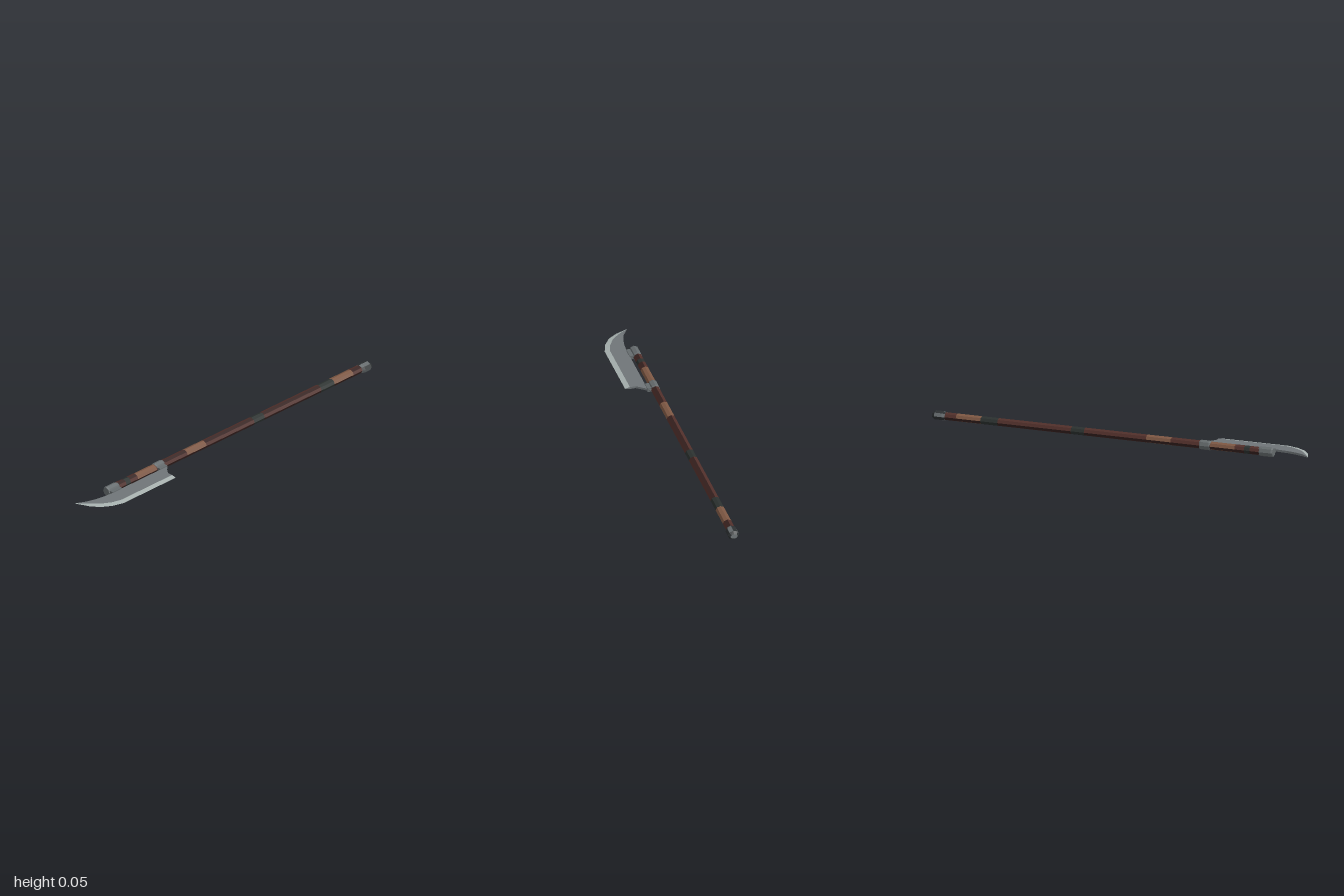
import * as THREE from 'three';

const mat = (name, color) => {
  const m = new THREE.MeshStandardMaterial({ color });
  m.name = name;
  return m;
};

const CY = 0.025; // height of the weapon's centre plane
const SIDES = 8;

// Collects flat quads and triangles per material and makes one mesh with groups
function facets(name, materials, build) {
  const lists = materials.map(() => []);
  const tri = (m, a, b, c) => lists[m].push(...a, ...b, ...c);
  const quad = (m, a, b, c, d) => { tri(m, a, b, c); tri(m, a, c, d); };
  build(quad, tri);
  const geo = new THREE.BufferGeometry();
  geo.setAttribute('position', new THREE.Float32BufferAttribute(lists.flat(), 3));
  let start = 0;
  lists.forEach((l, i) => {
    geo.addGroup(start, l.length / 3, i);
    start += l.length / 3;
  });
  geo.computeVertexNormals();
  const mesh = new THREE.Mesh(geo, materials);
  mesh.name = name;
  return mesh;
}

// Eight-sided loft along x; rings are [x, z, ry, rz]
function loft(name, materials, rings, pick, capMaterial = 0) {
  const point = ([x, z, ry, rz], k) => {
    const a = (k / SIDES) * Math.PI * 2;
    return [x, CY + ry * Math.cos(a), z + rz * Math.sin(a)];
  };
  return facets(name, materials, (quad, tri) => {
    const first = rings[0], last = rings[rings.length - 1];
    for (let k = 0; k < SIDES; k++) {
      for (let i = 0; i < rings.length - 1; i++) {
        quad(pick(i, k), point(rings[i], k), point(rings[i], k + 1),
          point(rings[i + 1], k + 1), point(rings[i + 1], k));
      }
      tri(capMaterial, [first[0], CY, first[1]], point(first, k + 1), point(first, k));
      tri(capMaterial, [last[0], CY, last[1]], point(last, k), point(last, k + 1));
    }
  });
}

export function createModel() {
  const group = new THREE.Group();
  const wood = mat('red brown wood', 0x512f2a);
  const darkWood = mat('dark wood', 0x35201e);
  const lightWood = mat('worn light wood', 0x7d5743);
  const band = mat('dark green band', 0x2b312f);
  const steel = mat('steel', 0x6f7578);
  const collarSteel = mat('collar steel', 0x656b6d);
  const edgeSteel = mat('sharpened edge', 0xa6b0ae);
  const darkSteel = mat('dark steel', 0x2c3032);

  // Shaft: wood facets with worn patches (2) and dark bands (3)
  const stations = [[-0.79, 0], [-0.69, 3], [-0.66, 0], [-0.61, 2], [-0.48, 0], [-0.27, 2],
    [-0.14, 0], [0.19, 3], [0.26, 0], [0.65, 3], [0.74, 2], [0.87, 0], [0.96, 0]];
  const rings = stations.map(([x]) => {
    const t = (x + 0.8) / 1.8;
    return [x, -0.063 + 0.008 * t, 0.021 - 0.001 * t, 0.022 + 0.002 * t];
  });
  group.add(loft('shaft', [wood, darkWood, lightWood, band], rings, (i, k) => {
    const kind = stations[i][1];
    const stripe = [0, 2, 5].includes(k) ? 1 : 0;
    if (kind === 3) return 3;
    return kind === 2 && k % 3 !== 2 ? 2 : stripe;
  }));

  // Pommel cap with a chamfered end
  group.add(loft('endCap', [collarSteel, darkSteel, steel], [
    [0.93, -0.056, 0.021, 0.025], [0.945, -0.054, 0.024, 0.03],
    [0.985, -0.053, 0.024, 0.03], [1.0, -0.052, 0.0125, 0.019],
  ], (i, k) => (i === 2 || k % 2 ? 1 : 0), 2));

  // Two collars, each with a lug that holds the blade
  for (const [name, x0, x1] of [['tipCollar', -0.81, -0.735], ['neckCollar', -0.48, -0.42]]) {
    const collar = loft(name, [collarSteel], [
      [x0, -0.062, 0.022, 0.021], [x0 + 0.008, -0.062, 0.025, 0.024],
      [x1 - 0.008, -0.062, 0.025, 0.024], [x1, -0.062, 0.022, 0.021],
    ], () => 0);
    group.add(collar);
    const lug = new THREE.Mesh(new THREE.BoxGeometry(x1 - x0 - 0.01, 0.02, 0.03), collarSteel);
    lug.name = name + 'Lug';
    lug.position.set((x0 + x1) / 2, CY, -0.037);
    group.add(lug);
  }

  // Neck plate flaring from the collar into the blade
  const half = 0.0054;
  const s = new THREE.Shape();
  s.moveTo(-0.475, 0.04);
  s.lineTo(-0.475, -0.035);
  s.quadraticCurveTo(-0.462, -0.012, -0.42, 0.035);
  s.lineTo(-0.42, 0.045);
  const neckGeo = new THREE.ExtrudeGeometry(s, { depth: half * 2, bevelEnabled: false, curveSegments: 5 });
  neckGeo.rotateX(-Math.PI / 2);
  const neck = new THREE.Mesh(neckGeo, steel);
  neck.name = 'bladeNeck';
  neck.position.y = CY - half;
  group.add(neck);

  // Blade sections: back, bevel start and cutting edge as x, z pairs
  const sections = [
    [-0.47, -0.024, -0.47, 0.055, -0.47, 0.08],
    [-0.72, -0.024, -0.75, 0.055, -0.75, 0.08],
    [-0.81, -0.024, -0.82, 0.055, -0.83, 0.08],
    [-0.87, -0.03, -0.87, 0.041, -0.89, 0.06],
    [-0.92, -0.041, -0.92, 0.012, -0.94, 0.027],
    [-0.96, -0.055, -0.957, -0.026, -0.973, -0.018],
    [-1.0, -0.083, -0.997, -0.079, -1.0, -0.079],
  ].map(([bx, bz, mx, mz, ex, ez], i) => {
    const h = i === 6 ? 0.002 : half;
    return [[bx, CY + h, bz], [mx, CY + h, mz], [ex, CY, ez], [mx, CY - h, mz], [bx, CY - h, bz]];
  });
  group.add(facets('blade', [steel, edgeSteel], (quad, tri) => {
    for (let i = 0; i < sections.length - 1; i++) {
      const p = sections[i], q = sections[i + 1];
      for (let j = 0; j < 5; j++) {
        const n = (j + 1) % 5;
        quad(j === 1 || j === 2 ? 1 : 0, q[j], q[n], p[n], p[j]);
      }
    }
    const a = sections[0], b = sections[sections.length - 1];
    for (let j = 1; j < 4; j++) {
      tri(0, a[0], a[j], a[j + 1]);
      tri(0, b[0], b[j + 1], b[j]);
    }
  }));

  return group;
}
